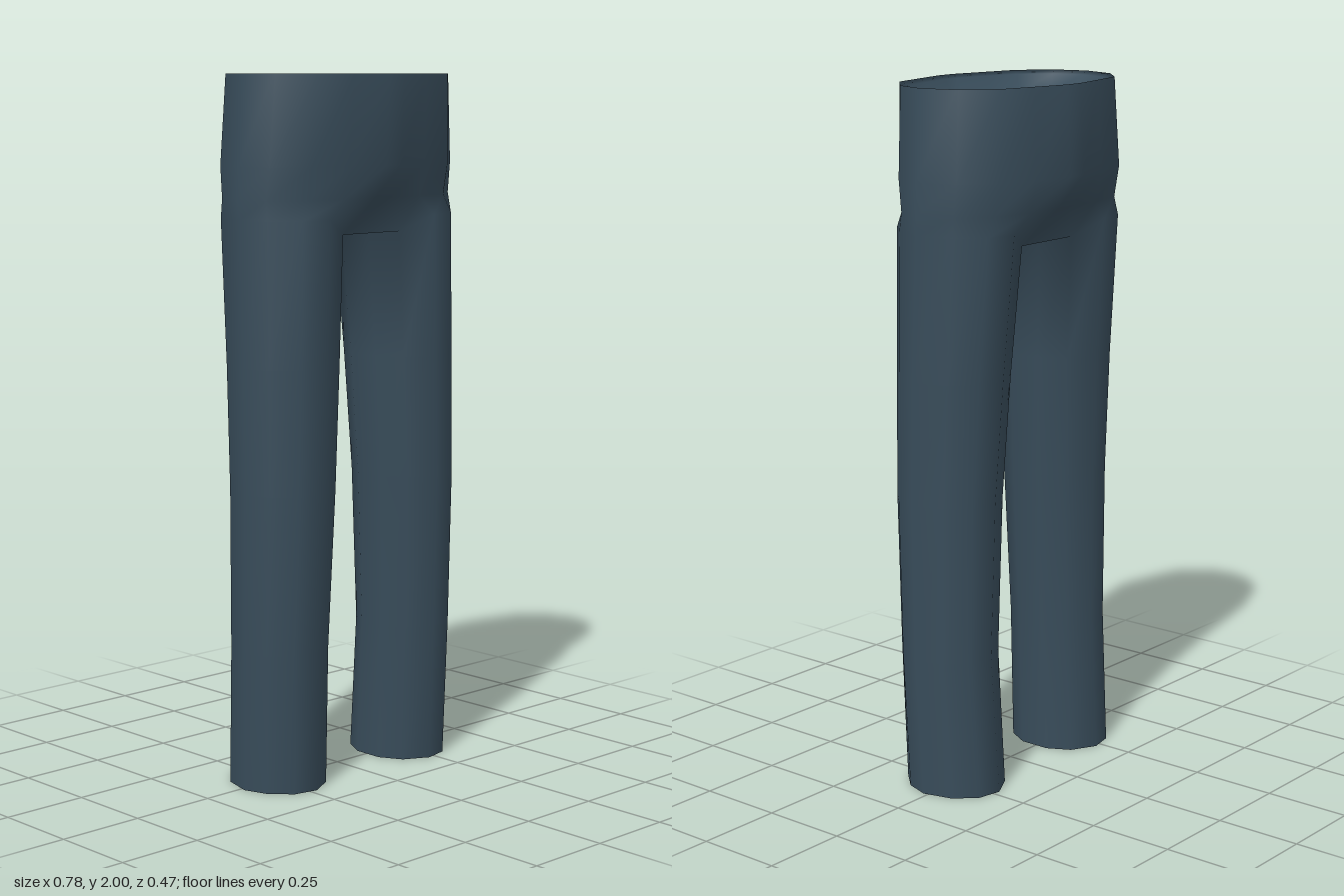
import * as THREE from 'three';

// Collects points and quads, then makes a smooth indexed geometry.
class Builder {
  constructor() { this.pos = []; this.idx = []; }
  point(x, y, z) { this.pos.push(x, y, z); return this.pos.length / 3 - 1; }
  tri(a, b, c) { this.idx.push(a, b, c); }
  quad(a, b, c, d) { this.idx.push(a, b, c, a, c, d); }
  // Joins two rows of points; flip turns the faces round.
  strip(lo, hi, closed, flip) {
    const n = lo.length;
    for (let i = 0; i < (closed ? n : n - 1); i++) {
      const j = (i + 1) % n;
      if (flip) this.quad(lo[j], lo[i], hi[i], hi[j]);
      else this.quad(lo[i], lo[j], hi[j], hi[i]);
    }
  }
  fan(ring, c, flip) {
    ring.forEach((a, i) => {
      const b = ring[(i + 1) % ring.length];
      if (flip) this.tri(b, a, c); else this.tri(a, b, c);
    });
  }
  geometry() {
    const g = new THREE.BufferGeometry();
    g.setAttribute('position', new THREE.Float32BufferAttribute(this.pos, 3));
    g.setIndex(this.idx);
    g.computeVertexNormals();
    return g;
  }
}

// Leg section: u runs from inner (-1) to outer (1), v from back (-1) to front (1).
const LEG = [[-0.72, 0.74], [-0.15, 1], [0.4, 0.9], [0.82, 0.52], [1, 0.06], [0.82, -0.52],
  [0.4, -0.9], [-0.15, -1], [-0.72, -0.74], [-1, -0.3], [-1, 0.3]];
// Half of the hip section, from the middle of the front to the middle of the back.
const HIP = [[0.077, 1], [0.38, 0.9], [0.69, 0.79], [0.92, 0.46], [1, 0.06], [0.915, -0.42],
  [0.69, -0.77], [0.38, -0.89], [0.077, -1]];
// Leg levels: y, inner x, outer x, front z, back z.
const LEG_LEVELS = [[0, 0.12, 0.376, 0.156, -0.145], [0.4, 0.12, 0.388, 0.165, -0.12],
  [0.85, 0.103, 0.388, 0.183, -0.128], [1.2, 0.085, 0.386, 0.186, -0.148],
  [1.56, 0.066, 0.386, 0.187, -0.178]];
// Hip levels: y, half width, front z, back z, pull of the middle seam.
const HIP_LEVELS = [[1.66, 0.386, 0.202, -0.212, 0.9], [1.75, 0.383, 0.226, -0.235, 1],
  [2, 0.365, 0.238, -0.222, 1]];

function legRing(b, [y, xi, xo, zf, zb], s, lift = 0) {
  const cx = (xi + xo) / 2, w = (xo - xi) / 2, cz = (zf + zb) / 2, d = (zf - zb) / 2;
  return LEG.map(([u, v], i) =>
    b.point(s * (cx + u * w), y + (i > 0 && i < 8 ? lift : 0), cz + v * d));
}

function hipRow(b, [y, w, zf, zb, seam], s) {
  return HIP.map(([u, v], i) =>
    b.point(s * u * w, y, (v > 0 ? v * zf : -v * zb) * (i % 8 === 0 ? seam : 1)));
}

function trousersGeometry() {
  const b = new Builder();
  // Both legs and both halves of the hips
  const sides = [1, -1].map((s) => {
    const flip = s < 0;
    const legs = LEG_LEVELS.map((l, k) => legRing(b, l, s, k === 4 ? 0.045 : 0));
    for (let k = 0; k < legs.length - 1; k++) b.strip(legs[k], legs[k + 1], true, flip);
    const crotch = legs[legs.length - 1];
    const rows = [crotch.slice(0, 9), ...HIP_LEVELS.map((l) => hipRow(b, l, s))];
    for (let k = 0; k < rows.length - 1; k++) b.strip(rows[k], rows[k + 1], false, flip);
    return { crotch, rows };
  });
  const [L, R] = sides;

  // Front and back middle seams
  for (let k = 0; k < L.rows.length - 1; k++) {
    b.quad(R.rows[k][0], L.rows[k][0], L.rows[k + 1][0], R.rows[k + 1][0]);
    b.quad(L.rows[k][8], R.rows[k][8], R.rows[k + 1][8], L.rows[k + 1][8]);
  }
  // Underside between the legs
  const under = [0, 10, 9, 8];
  for (let k = 0; k < 3; k++) {
    const p = under[k], q = under[k + 1];
    b.quad(L.crotch[p], R.crotch[p], R.crotch[q], L.crotch[q]);
  }

  // Waist rim and sunken inside
  const top = HIP_LEVELS.length;
  let ring = [...L.rows[top], ...R.rows[top].slice().reverse()];
  for (const [y, inset] of [[1.99, 0.022], [1.94, 0.05]]) {
    const level = [y, 0.365 - inset, 0.238 - inset, -0.222 + inset, 1];
    const inner = [...hipRow(b, level, 1), ...hipRow(b, level, -1).reverse()];
    b.strip(ring, inner, true, false);
    ring = inner;
  }
  b.fan(ring, b.point(0, 1.85, 0), false);
  return b.geometry();
}

// Sunken underside of one trouser leg
function hemGeometry(s) {
  const b = new Builder(), flip = s > 0;
  const [, xi, xo, zf, zb] = LEG_LEVELS[0];
  const rings = [[0, 0], [0.005, 0.015], [0.04, 0.028]].map(([y, t]) =>
    legRing(b, [y, xi + t, xo - t, zf - t, zb + t], s));
  b.strip(rings[0], rings[1], true, flip);
  b.strip(rings[1], rings[2], true, flip);
  b.fan(rings[2], b.point(s * (xi + xo) / 2, 0.06, (zf + zb) / 2), flip);
  return b.geometry();
}

export function createModel() {
  const group = new THREE.Group();
  group.name = 'trousers';
  const cloth = new THREE.MeshStandardMaterial({ color: 0x384c5a });
  cloth.name = 'slate blue cloth';
  const add = (name, geometry) => {
    const mesh = new THREE.Mesh(geometry, cloth);
    mesh.name = name;
    group.add(mesh);
  };
  add('hipsAndLegs', trousersGeometry());
  add('leftHem', hemGeometry(1));
  add('rightHem', hemGeometry(-1));
  return group;
}
